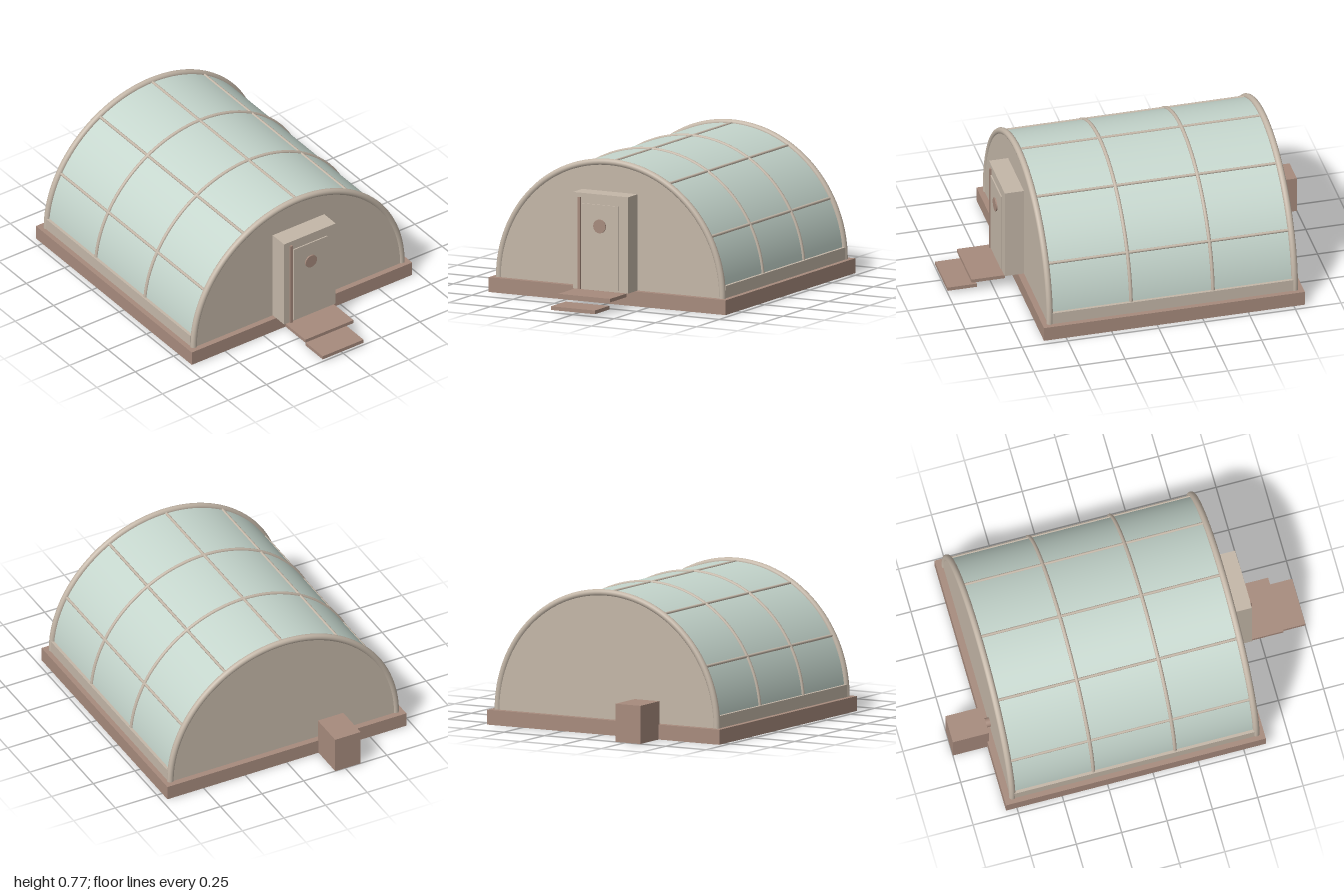
import * as THREE from 'three';

const mat = (name, color) => Object.assign(new THREE.MeshStandardMaterial({ color }), { name });

export function createModel() {
  const cream = mat('cream frame', 0xc4b7a8);
  const brown = mat('brown base', 0xa78b7d);
  const glass = mat('pale green glazing', 0xc5d6cd);
  glass.side = THREE.DoubleSide;

  const model = new THREE.Group();
  model.name = 'vaultedShelter';

  const FLOOR = 0.08, R = 0.677;
  const BACK = -0.765, FRONT = 0.58;

  const add = (name, geometry, material, x = 0, y = 0, z = 0) => {
    const mesh = new THREE.Mesh(geometry, material);
    mesh.name = name;
    mesh.position.set(x, y, z);
    model.add(mesh);
    return mesh;
  };
  // Box given by its minimum and maximum on each axis
  const box = (name, material, x0, x1, y0, y1, z0, z1) =>
    add(name, new THREE.BoxGeometry(x1 - x0, y1 - y0, z1 - z0), material,
      (x0 + x1) / 2, (y0 + y1) / 2, (z0 + z1) / 2);
  // Cylinder lying along x
  const rod = (name, material, radius, x0, x1, y, z, sides = 12) =>
    add(name, new THREE.CylinderGeometry(radius, radius, x1 - x0, sides).rotateZ(Math.PI / 2),
      material, (x0 + x1) / 2, y, z);
  // Half ring standing across x
  const arch = (name, radius, tube, x) =>
    add(name, new THREE.TorusGeometry(radius, tube, 12, 64, Math.PI).rotateY(Math.PI / 2), cream, x, FLOOR, 0);

  // Foundation slab
  box('foundation', brown, -0.81, 0.622, 0, FLOOR, -0.718, 0.718);

  // Curved glazing
  const vault = new THREE.CylinderGeometry(R, R, FRONT - BACK, 64, 1, true, 0, Math.PI);
  vault.rotateZ(Math.PI / 2);
  add('glazing', vault, glass, (BACK + FRONT) / 2, FLOOR, 0);

  // End walls
  const half = new THREE.Shape();
  half.absarc(0, 0, R, 0, Math.PI, false);
  half.closePath();
  const wall = new THREE.ExtrudeGeometry(half, { depth: 0.02, bevelEnabled: false, curveSegments: 64 });
  wall.translate(0, 0, -0.01).rotateY(Math.PI / 2);
  add('frontWall', wall, cream, FRONT, FLOOR, 0);
  add('backWall', wall, cream, BACK, FLOOR, 0);

  // Heavy end arches and slim intermediate ribs
  for (const x of [BACK, FRONT]) arch('endArch', R, 0.018, x);
  for (const x of [-0.317, 0.133]) arch('rib', R, 0.01, x);

  // Lengthwise glazing bars
  for (const deg of [28.5, 60, 90, 120, 151.5]) {
    const a = THREE.MathUtils.degToRad(deg);
    rod('glazingBar', cream, 0.008, -0.75, 0.566, FLOOR + R * Math.sin(a), R * Math.cos(a));
  }

  // Sill boards along both long sides
  for (const s of [-1, 1]) {
    const z = s * 0.678;
    box('sill', cream, -0.755, 0.568, FLOOR, 0.146, z - 0.012, z + 0.012);
  }

  // Entrance porch with door, round window and upright handle bar
  box('porch', cream, FRONT, 0.695, FLOOR, 0.6, -0.168, 0.168);
  box('door', cream, 0.69, 0.702, 0.09, 0.545, -0.11, 0.11);
  rod('doorWindow', brown, 0.037, 0.7, 0.709, 0.43, 0, 32);
  box('handleBar', brown, 0.693, 0.705, FLOOR, 0.577, 0.119, 0.134);

  // Two floating entrance steps
  box('upperStep', brown, 0.692, 0.874, 0.06, 0.079, -0.157, 0.157);
  box('lowerStep', brown, 0.84, 1.0, 0.014, 0.034, -0.133, 0.133);

  // Utility box on the back end with its connecting pipe
  box('utilityBox', brown, -1.0, -0.802, 0, 0.205, 0.19, 0.343);
  rod('utilityPipe', brown, 0.025, -0.81, -0.77, 0.155, 0.265, 20);

  return model;
}
